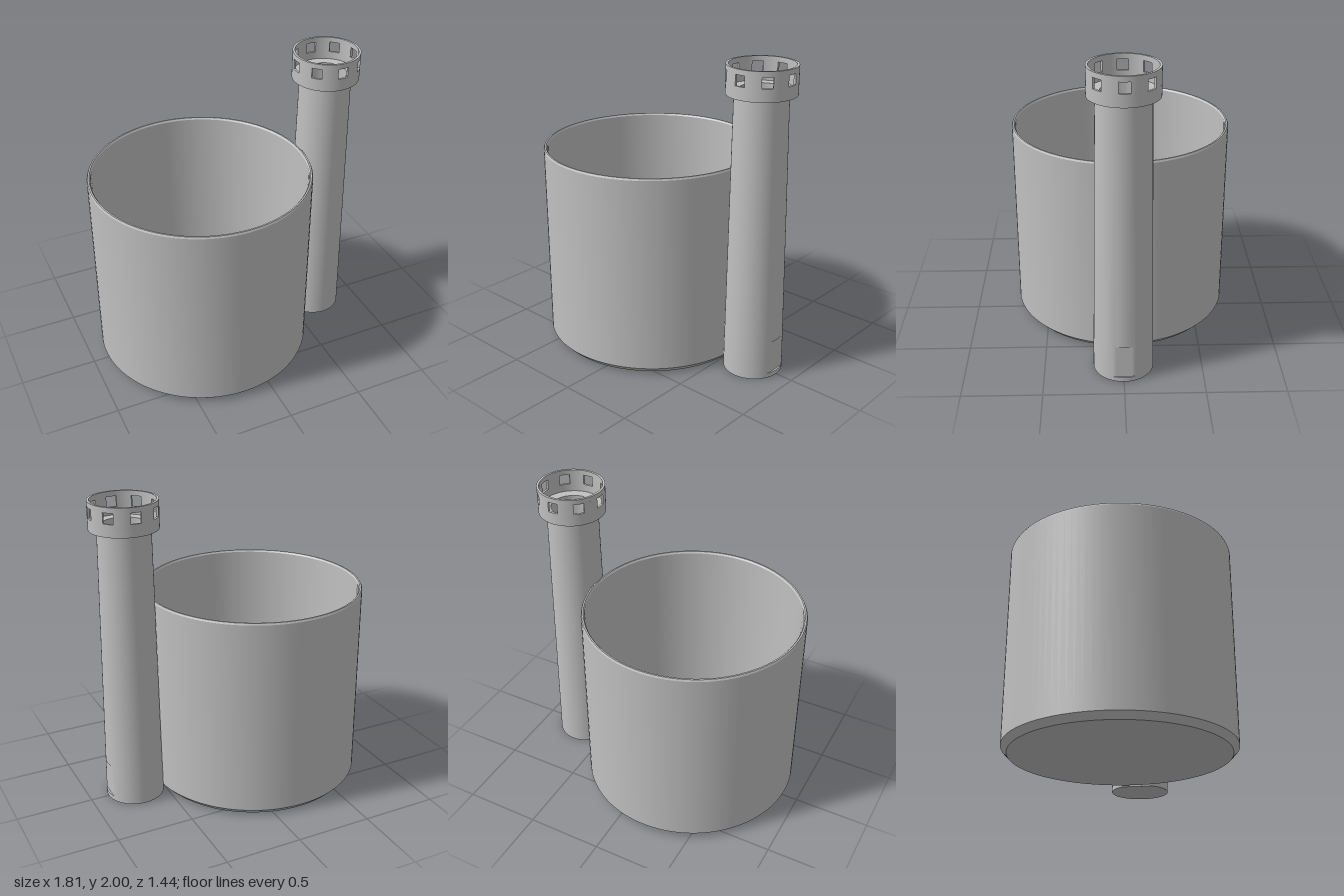
import * as THREE from 'three';
import { toCreasedNormals } from 'three/addons/utils/BufferGeometryUtils.js';

const POT_X = -0.187, POT_R = 0.718, POT_H = 1.333;
const TOWER_X = 0.69, SEGMENTS = 96;

const turned = (points) =>
  new THREE.LatheGeometry(points.map(([r, y]) => new THREE.Vector2(r, y)), SEGMENTS);

export function createModel() {
  const model = new THREE.Group();
  model.name = 'potWithTower';
  const grey = new THREE.MeshStandardMaterial({ color: 0xc0c0c0 });
  grey.name = 'plain grey';

  const add = (parent, name, geometry, crease = 0.4) => {
    const mesh = new THREE.Mesh(toCreasedNormals(geometry, crease), grey);
    mesh.name = name;
    parent.add(mesh);
    return mesh;
  };

  // Hollow round pot with a chamfered foot and a softened rim
  const pot = add(model, 'pot', turned([
    [0, 0], [0.68, 0], [POT_R, 0.04], [POT_R, POT_H - 0.012], [POT_R - 0.006, POT_H],
    [0.702, POT_H], [0.694, POT_H - 0.012], [0.694, 0.04], [0, 0.04],
  ]));
  pot.position.x = POT_X;

  const tower = new THREE.Group();
  tower.name = 'tower';
  tower.position.x = TOWER_X;
  model.add(tower);

  // Tapered shaft; doubled rows make the ledges of the flat recess and the pot cut
  const rows = [
    [0, 0], [0.19, 0], [0.19, 0.03], [0.19, 0.03], [0.187, 0.25], [0.187, 0.25],
    [0.172, POT_H], [0.172, POT_H], [0.165, 1.82],
  ];
  const shaft = turned(rows);
  const pos = shaft.attributes.position;
  for (let i = 0; i < pos.count; i++) {
    const row = i % rows.length;
    let x = pos.getX(i);
    const z = pos.getZ(i);
    // Flat recess on the outer side
    if (row === 3 || row === 4) x = Math.min(x, 0.177);
    // Hollow the shaft to fit the pot wall
    if (row > 0 && row <= 6) {
      x = Math.max(x, POT_X - TOWER_X + Math.sqrt(POT_R ** 2 - z * z));
    }
    pos.setX(i, x);
  }
  add(tower, 'shaft', shaft);

  // Open bore down the shaft
  add(tower, 'bore', turned([[0.135, 1.85], [0.135, 0.03], [0, 0.03]]));

  // Crown: floor and parapet below the windows, and the ring above them
  const outer = 0.215, inner = 0.2, sill = 1.9, lintel = 1.967;
  add(tower, 'crownBase', turned([
    [0.165, 1.82], [outer, 1.82], [outer, sill], [inner, sill], [inner, 1.85], [0.135, 1.85],
  ]));
  add(tower, 'crownRim', turned([
    [inner, lintel], [outer, lintel], [outer, 2], [inner, 2], [inner, lintel],
  ]));

  // Eight piers leave eight straight-sided windows
  const halfWindow = 0.033, step = Math.PI / 4;
  const a = Math.asin(halfWindow / outer), b = Math.asin(halfWindow / inner);
  const section = new THREE.Shape();
  section.absarc(0, 0, outer, a, step - a, false);
  section.absarc(0, 0, inner, step - b, b, true);
  const pier = new THREE.ExtrudeGeometry(section, {
    depth: lintel - sill, bevelEnabled: false, curveSegments: 10,
  });
  pier.rotateX(-Math.PI / 2);
  pier.translate(0, sill, 0);
  for (let i = 0; i < 8; i++) {
    add(tower, 'crownPier', pier).rotation.y = i * step;
  }

  return model;
}
